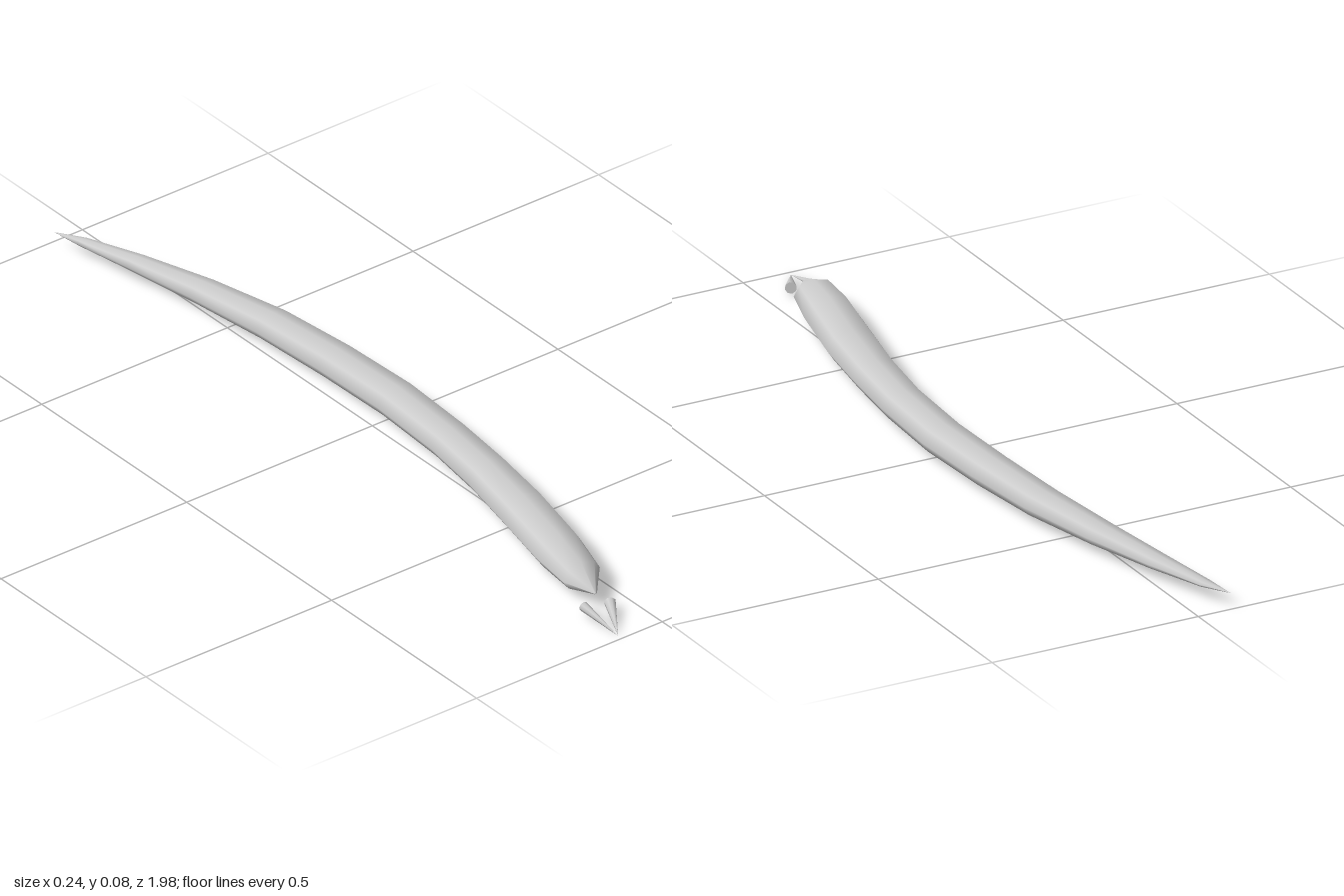
import * as THREE from 'three';

const material = new THREE.MeshStandardMaterial({ color: 0xcccccc });
const SIDES = 8;

// Stations along the body, tail to head: z, left edge x, right edge x, bottom y, top y
const STATIONS = [
  [-0.99, -0.085, -0.085, 0.033, 0.033],
  [-0.92, -0.077, -0.046, 0.026, 0.042],
  [-0.78, -0.054, 0.002, 0.021, 0.053],
  [-0.6, -0.027, 0.052, 0.016, 0.064],
  [-0.4, -0.004, 0.093, 0.012, 0.072],
  [-0.2, 0.008, 0.111, 0.009, 0.076],
  [0, 0.012, 0.119, 0.008, 0.077],
  [0.2, 0, 0.107, 0.008, 0.077],
  [0.36, -0.024, 0.088, 0.008, 0.079],
  [0.52, -0.059, 0.063, 0.007, 0.081],
  [0.69, -0.096, 0.023, 0.006, 0.083],
  [0.8, -0.11, -0.012, 0.014, 0.074],
  [0.87, -0.082, -0.074, 0.036, 0.042],
  [0.873, -0.079, -0.079, 0.039, 0.039],
];

// Skin the stations with eight-sided elliptical rings
function bodyGeometry() {
  const positions = [], index = [];
  STATIONS.forEach(([z, x0, x1, y0, y1], i) => {
    for (let j = 0; j < SIDES; j++) {
      const a = (j / SIDES) * Math.PI * 2;
      positions.push(
        (x0 + x1) / 2 + Math.cos(a) * (x1 - x0) / 2,
        (y0 + y1) / 2 + Math.sin(a) * (y1 - y0) / 2,
        z
      );
      if (i === STATIONS.length - 1) continue;
      const k = (j + 1) % SIDES;
      const p = i * SIDES + j, q = i * SIDES + k;
      index.push(p, q, q + SIDES, p, q + SIDES, p + SIDES);
    }
  });
  const g = new THREE.BufferGeometry();
  g.setAttribute('position', new THREE.Float32BufferAttribute(positions, 3));
  g.setIndex(index);
  g.computeVertexNormals();
  return g;
}

// Cone with its base centre and tip at the given points
function spike(name, base, tip, radius) {
  const dir = tip.clone().sub(base);
  const mesh = new THREE.Mesh(new THREE.ConeGeometry(radius, dir.length(), 8), material);
  mesh.name = name;
  mesh.position.copy(base).add(tip).multiplyScalar(0.5);
  mesh.quaternion.setFromUnitVectors(new THREE.Vector3(0, 1, 0), dir.normalize());
  return mesh;
}

export function createModel() {
  const group = new THREE.Group();
  group.name = 'curvedBody';

  const body = new THREE.Mesh(bodyGeometry(), material);
  body.name = 'body';
  group.add(body);

  // Two slim cones meeting at one point in front of the blunt end
  const tip = new THREE.Vector3(-0.109, 0.001, 0.988);
  group.add(
    spike('rightSpike', new THREE.Vector3(-0.113, 0.021, 0.872), tip, 0.011),
    spike('leftSpike', new THREE.Vector3(-0.056, 0.019, 0.892), tip, 0.013)
  );
  return group;
}
